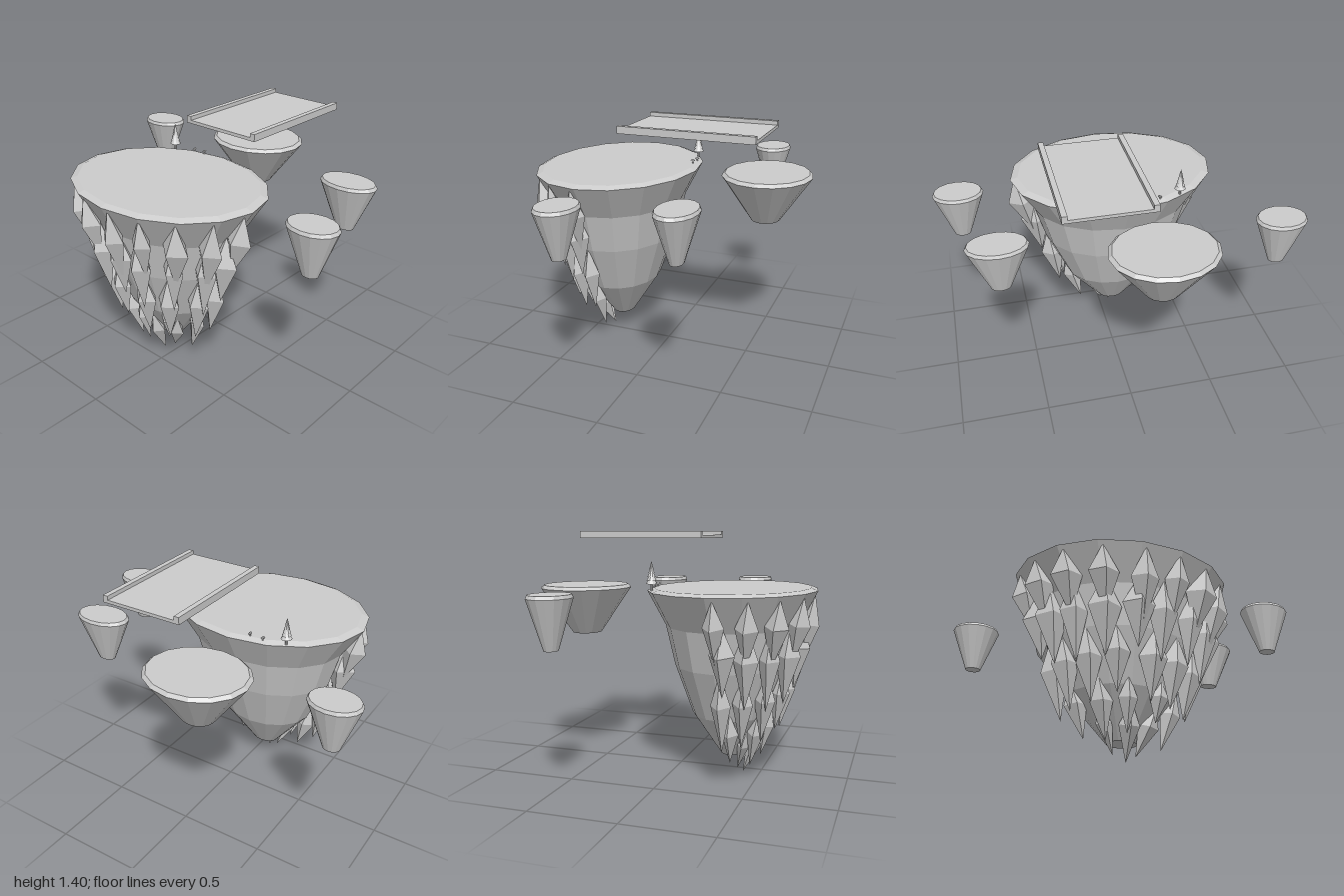
import * as THREE from 'three';
import { mergeGeometries } from 'three/addons/utils/BufferGeometryUtils.js';

const material = new THREE.MeshStandardMaterial({ color: 0xcccccc, flatShading: true });
const SURFACE = 1.09; // height of the ground on every island
const SIDES = 16;

function add(parent, name, geometry, x = 0, y = 0, z = 0) {
  const mesh = new THREE.Mesh(geometry, material);
  mesh.name = name;
  mesh.position.set(x, y, z);
  parent.add(mesh);
  return mesh;
}

// Faceted round solid from [radius, height] pairs running upward
function turned(profile, sides) {
  return new THREE.LatheGeometry(profile.map(([r, y]) => new THREE.Vector2(r, y)), sides);
}

// Small floating island: tapered rock with a bevelled top
function islet(parent, name, x, z, rx, rz) {
  const profile = [[0, 0.805], [0.32, 0.805], [1, 1.072], [0.93, SURFACE], [0, SURFACE]];
  add(parent, name, turned(profile, SIDES).scale(rx, 1, rz), x, 0, z);
}

// Main rock outline as [radius, height]
const rock = [[0.065, 0.12], [0.225, 0.37], [0.325, 0.655], [0.375, 0.88], [0.475, 1.075]];

function rockRadius(y) {
  for (let i = 1; i < rock.length; i++) {
    const [r0, y0] = rock[i - 1], [r1, y1] = rock[i];
    if (y <= y1) return r0 + (r1 - r0) * Math.max(0, (y - y0) / (y1 - y0));
  }
  return rock[rock.length - 1][0];
}

// Pointed rock shard between a hanging tip and a top buried in the rock
function shard(tip, top, radius) {
  const axis = top.clone().sub(tip);
  const length = axis.length();
  const geometry = turned([[0, 0], [radius, length * 0.6], [0, length]], 4);
  geometry.applyQuaternion(new THREE.Quaternion().setFromUnitVectors(
    new THREE.Vector3(0, 1, 0), axis.normalize()));
  return geometry.translate(tip.x, tip.y, tip.z);
}

// Rows of shards around the right (-x) side of the main rock
function shards() {
  const rows = [ // tip height, top height, count, half spread in degrees, shard radius
    [0.66, 1.06, 9, 82, 0.062],
    [0.49, 0.92, 9, 82, 0.062],
    [0.25, 0.66, 8, 85, 0.058],
    [0.13, 0.42, 5, 75, 0.045],
    [0.025, 0.30, 3, 45, 0.04],
  ];
  let seed = 7;
  const noise = () => ((seed = (seed * 16807) % 2147483647) / 2147483647) * 2 - 1;
  const parts = [];
  rows.forEach(([tipY, topY, count, spread, radius], row) => {
    for (let i = 0; i < count; i++) {
      const t = (i / (count - 1)) * 2 - 1;
      const angle = THREE.MathUtils.degToRad(spread * t + noise() * 4);
      const yTip = row === 4 ? 0.04 * Math.abs(t) : tipY + noise() * 0.06;
      const at = (r, y) => new THREE.Vector3(-Math.cos(angle) * r, y, Math.sin(angle) * r);
      const rTip = row === 4 ? 0.065 : rockRadius((yTip + topY) / 2) + 0.01;
      parts.push(shard(at(rTip, yTip), at(rockRadius(topY) - 0.01, topY),
        radius * (1 + noise() * 0.15)));
    }
  });
  return mergeGeometries(parts);
}

export function createModel() {
  const model = new THREE.Group();
  model.name = 'floatingIslands';

  // Main island, longer front to back
  const main = new THREE.Group();
  main.name = 'mainIsland';
  main.position.set(-0.335, 0, -0.067);
  model.add(main);
  const stretch = 1.284;
  add(main, 'mainRock', turned([[0, 0.12], ...rock], SIDES).scale(1, 1, stretch));
  add(main, 'mainGround',
    turned([[0.475, 1.075], [0.44, SURFACE], [0, SURFACE]], SIDES).scale(1, 1, stretch));
  add(main, 'rockShards', shards().scale(1, 1, stretch));

  // Surrounding islets
  islet(model, 'largeIslet', 0.548, -0.15, 0.26, 0.3);
  islet(model, 'frontRightIslet', -0.257, 0.852, 0.113, 0.146);
  islet(model, 'frontLeftIslet', 0.312, 0.685, 0.113, 0.17);
  islet(model, 'backIslet', 0.41, -0.855, 0.113, 0.145);

  // Bridge: flat deck with a raised curb along each long edge
  const bridge = new THREE.Group();
  bridge.name = 'bridge';
  bridge.position.set(0.232, 1.36, 0.145);
  model.add(bridge);
  add(bridge, 'bridgeDeck', new THREE.BoxGeometry(0.756, 0.018, 0.42), 0, 0.009, 0);
  for (const side of [-1, 1]) {
    add(bridge, 'bridgeCurb', new THREE.BoxGeometry(0.756, 0.04, 0.03), 0, 0.02, side * 0.225);
  }

  // Pine tree: trunk and stacked cones
  const tree = new THREE.Group();
  tree.name = 'pineTree';
  tree.position.set(0.045, SURFACE, -0.387);
  model.add(tree);
  add(tree, 'treeTrunk', new THREE.CylinderGeometry(0.006, 0.007, 0.05, 8), 0, 0.015, 0);
  for (let i = 0; i < 5; i++) {
    add(tree, 'treeTier', new THREE.ConeGeometry(0.032 - i * 0.005, 0.046, 10), 0, 0.05 + i * 0.0195, 0);
  }

  // Two small mushrooms near the edge
  for (const [x, z, height] of [[0.08, -0.26, 0.016], [0.082, -0.18, 0.022]]) {
    const mushroom = new THREE.Group();
    mushroom.name = 'mushroom';
    mushroom.position.set(x, SURFACE - 0.004, z);
    model.add(mushroom);
    add(mushroom, 'mushroomStem', new THREE.CylinderGeometry(0.004, 0.005, height, 8), 0, height / 2, 0);
    add(mushroom, 'mushroomCap', turned([[0, 0], [0.015, 0], [0.01, 0.006], [0, 0.008]], 8)
      .scale(1, 1, 0.6), 0, height - 0.002, 0);
  }
  return model;
}
